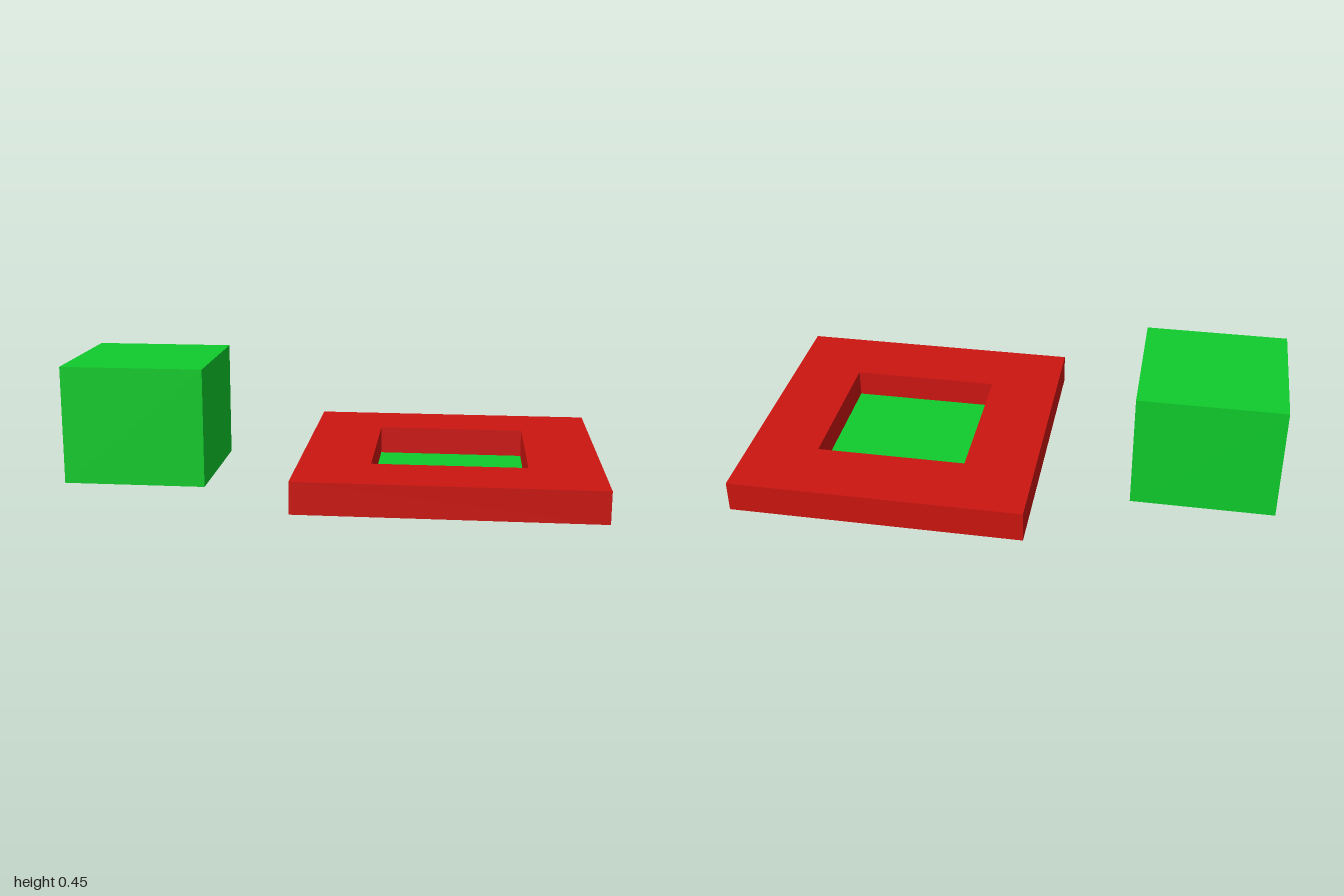
import * as THREE from 'three';

const red = new THREE.MeshStandardMaterial({ color: 0xcc1510 });
const green = new THREE.MeshStandardMaterial({ color: 0x0fcc2c });

function addMesh(group, name, geometry, material, x, y, z) {
  const mesh = new THREE.Mesh(geometry, material);
  mesh.name = name;
  mesh.position.set(x, y, z);
  group.add(mesh);
  return mesh;
}

// Square outline centred on the origin
function square(PathType, size) {
  const h = size / 2;
  return new PathType([[-h, -h], [h, -h], [h, h], [-h, h]].map(([x, y]) => new THREE.Vector2(x, y)));
}

export function createModel() {
  const model = new THREE.Group();
  model.name = 'blockAndTray';

  // Loose block, slightly off the ground
  const blockHeight = 0.447;
  addMesh(model, 'block', new THREE.BoxGeometry(0.537, blockHeight, 0.537), green,
    -0.7315, 0.007 + blockHeight / 2, 0.003);

  // Tray with a square recess
  const tray = new THREE.Group();
  tray.name = 'tray';
  tray.position.set(0.4475, 0, 0);
  model.add(tray);

  const recess = 0.57;
  const outline = square(THREE.Shape, 1.105);
  outline.holes.push(square(THREE.Path, recess));
  const frame = new THREE.ExtrudeGeometry(outline, { depth: 0.119, bevelEnabled: false });
  frame.rotateX(-Math.PI / 2);
  addMesh(tray, 'trayFrame', frame, red, 0, 0, 0);

  // Recess floor: green above, red underside
  const floor = new THREE.PlaneGeometry(recess, recess);
  addMesh(tray, 'recessFloor', floor, green, 0, 0.013, 0).rotation.x = -Math.PI / 2;
  addMesh(tray, 'trayUnderside', floor, red, 0, 0, 0).rotation.x = Math.PI / 2;

  return model;
}
